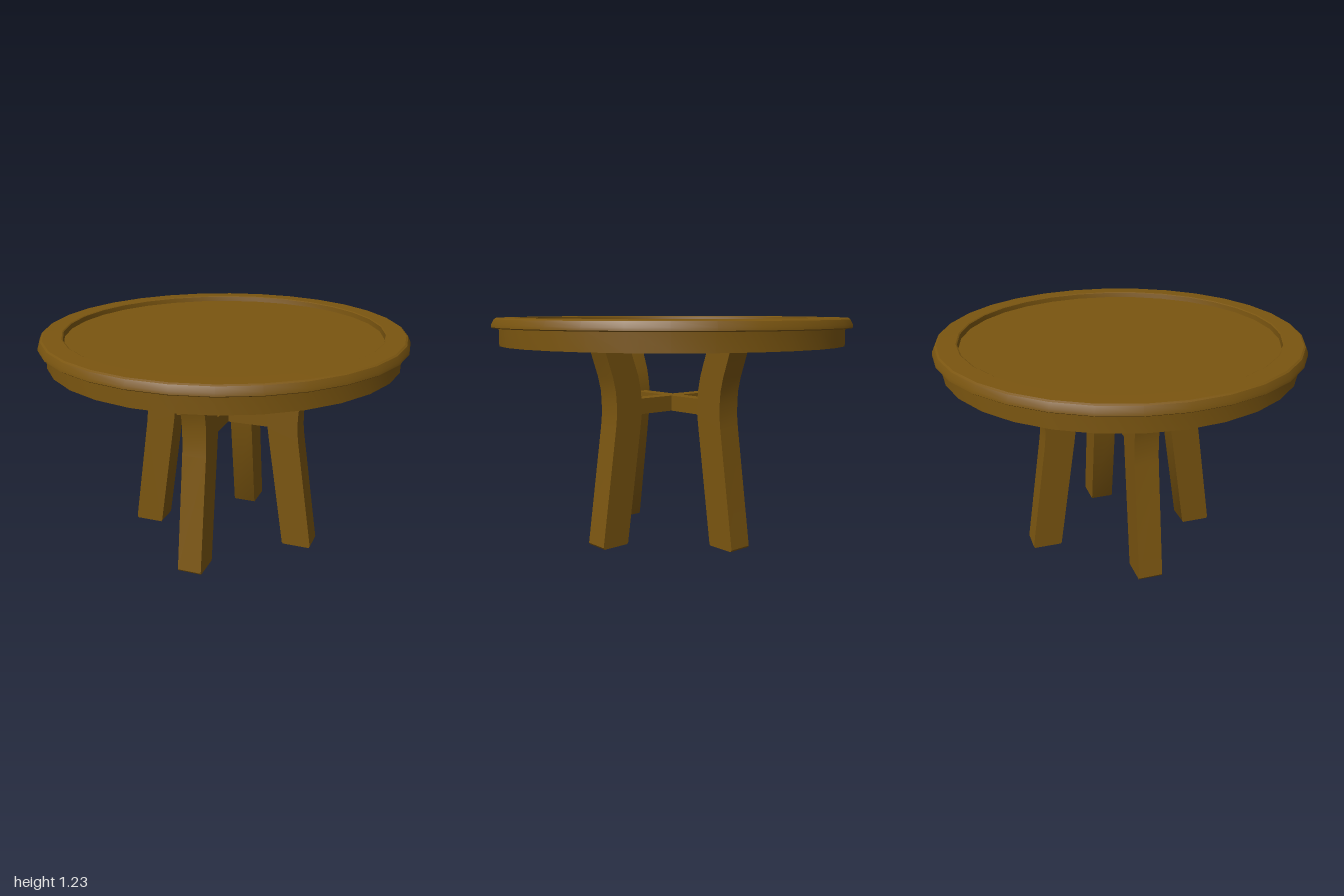
import * as THREE from 'three';
import { toCreasedNormals } from 'three/addons/utils/BufferGeometryUtils.js';

const v2 = ([x, y]) => new THREE.Vector2(x, y);

export function createModel() {
  const model = new THREE.Group();
  model.name = 'roundTable';
  const wood = new THREE.MeshStandardMaterial({ color: 0x7a5510 });

  const add = (name, geometry, parent = model) => {
    const mesh = new THREE.Mesh(geometry, wood);
    mesh.name = name;
    parent.add(mesh);
    return mesh;
  };

  // Thirty-sided revolved part, with a corner on the x axis
  const turned = (points) =>
    toCreasedNormals(new THREE.LatheGeometry(points.map(v2), 30, Math.PI / 2), 0.4);

  // Tabletop: bevelled rim around a shallow recess
  add('tabletop', turned([
    [0, 1.175], [0.993, 1.175], [1, 1.18], [0.998, 1.195], [0.985, 1.222],
    [0.975, 1.228], [0.875, 1.23], [0.868, 1.226], [0.864, 1.2], [0, 1.2],
  ]));

  // Apron: solid drum below the top
  add('apron', turned([[0, 1.08], [0.96, 1.08], [0.96, 1.176], [0, 1.176]]));

  // Legs: curved side profile extruded to the leg width, one on each axis
  const legWidth = 0.134;
  const profile = new THREE.Shape([
    [0.388, 0], [0.542, 0], [0.549, 0.01],
    [0.456, 0.65], [0.45, 0.71], [0.45, 0.78], [0.455, 0.845], [0.473, 0.92], [0.53, 1.085],
    [0.363, 1.085], [0.303, 0.92], [0.287, 0.845], [0.28, 0.78], [0.28, 0.71], [0.288, 0.65],
    [0.382, 0.01],
  ].map(v2));
  const legGeometry = toCreasedNormals(
    new THREE.ExtrudeGeometry(profile, { depth: legWidth, bevelEnabled: false })
      .translate(0, 0, -legWidth / 2), 0.4);
  ['leftLeg', 'backLeg', 'rightLeg', 'frontLeg'].forEach((name, i) => {
    add(name, legGeometry).rotation.y = i * Math.PI / 2;
  });

  // Crossed stretchers joining opposite legs
  const stretchers = new THREE.Group();
  stretchers.name = 'stretchers';
  stretchers.position.y = 0.748;
  model.add(stretchers);
  const bar = new THREE.BoxGeometry(0.6, 0.086, 0.08);
  add('sideStretcher', bar, stretchers);
  add('frontBackStretcher', bar, stretchers).rotation.y = Math.PI / 2;

  return model;
}
